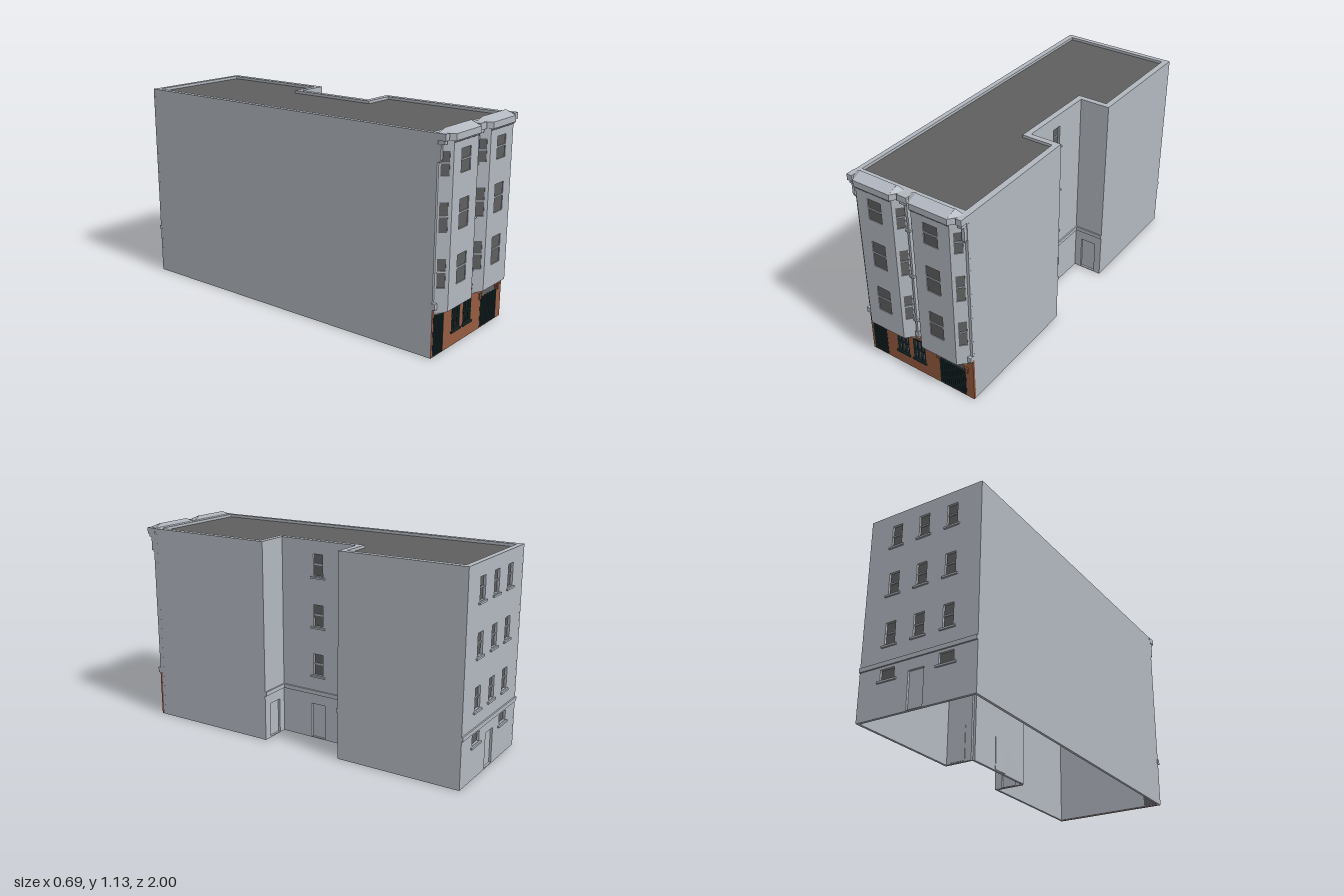
import * as THREE from 'three';

const mat = (name, color) => {
  const m = new THREE.MeshStandardMaterial({ color });
  m.name = name;
  return m;
};

export function createModel() {
  const stone = mat('stone', 0xb3b8c0);
  const dark = mat('darkGrey', 0x5f5f60);
  const brick = mat('brick', 0x965a40);
  const iron = mat('iron', 0x1f3133);
  const pale = mat('paleGreen', 0xd0dada);

  const model = new THREE.Group();
  model.name = 'terraceBuilding';

  const add = (parent, name, geo, material) => {
    const m = new THREE.Mesh(geo, material);
    m.name = name;
    parent.add(m);
    return m;
  };
  // Box given by its limits
  const box = (parent, name, material, x0, x1, y0, y1, z0, z1) => {
    const m = add(parent, name, new THREE.BoxGeometry(x1 - x0, y1 - y0, z1 - z0), material);
    m.position.set((x0 + x1) / 2, (y0 + y1) / 2, (z0 + z1) / 2);
    return m;
  };
  const rect = (C, x0, x1, y0, y1) => {
    const s = new C();
    s.moveTo(x0, y0); s.lineTo(x1, y0); s.lineTo(x1, y1); s.lineTo(x0, y1); s.closePath();
    return s;
  };
  const planShape = (pts, C = THREE.Shape) => new C(pts.map(([x, z]) => new THREE.Vector2(x, -z)));
  // Horizontal slab from a plan outline of [x, z] points
  const slab = (parent, name, material, pts, y0, y1, hole) => {
    const s = planShape(pts);
    if (hole) s.holes.push(planShape(hole, THREE.Path));
    const g = new THREE.ExtrudeGeometry(s, { depth: y1 - y0, bevelEnabled: false });
    g.rotateX(-Math.PI / 2).translate(0, y0, 0);
    return add(parent, name, g, material);
  };
  // Skin between two plan outlines at different heights
  const loft = (parent, name, material, low, y0, high, y1) => {
    const p = [];
    low.forEach((_, i) => {
      const j = (i + 1) % low.length;
      const a = [low[i][0], y0, low[i][1]], b = [low[j][0], y0, low[j][1]];
      const c = [high[j][0], y1, high[j][1]], d = [high[i][0], y1, high[i][1]];
      p.push(...a, ...b, ...c, ...a, ...c, ...d);
    });
    const g = new THREE.BufferGeometry();
    g.setAttribute('position', new THREE.Float32BufferAttribute(p, 3));
    g.computeVertexNormals();
    return add(parent, name, g, material);
  };

  // Upright wall from plan point a to b, outside on its local +z, with openings
  const T = 0.014;
  const wall = (name, a, b, y0, y1, openings = [], t = T) => {
    const g = new THREE.Group();
    g.name = name;
    const dx = b[0] - a[0], dz = b[1] - a[1], len = Math.hypot(dx, dz);
    g.position.set(a[0], 0, a[1]);
    g.rotation.y = Math.atan2(-dz, dx);
    const s = rect(THREE.Shape, 0, len, y0, y1);
    for (const o of openings) {
      s.holes.push(rect(THREE.Path, o.u0, o.u1, o.y0, o.y1));
      box(g, o.door ? 'door' : 'windowGlass', o.door ? stone : dark, o.u0, o.u1, o.y0, o.y1, -t - 0.003, -t + 0.002);
      if (o.bar) box(g, 'sashBar', stone, o.u0, o.u1, o.bar - 0.004, o.bar + 0.004, -t + 0.001, -t + 0.007);
      if (o.sill) box(g, 'windowSill', stone, o.u0 - 0.015, o.u1 + 0.015, o.y0 - 0.014, o.y0 - 0.004, -0.004, 0.009);
    }
    const geo = new THREE.ExtrudeGeometry(s, { depth: t, bevelEnabled: false });
    geo.translate(0, 0, -t);
    add(g, name + 'Panel', geo, stone);
    model.add(g);
    return { g, len };
  };
  const door = (u0) => ({ u0, u1: u0 + 0.09, y0: 0.005, y1: 0.2, door: true });
  const floors = [0.37, 0.645, 0.92];
  const column = (u) => floors.map((y) => ({ u0: u - 0.03, u1: u + 0.03, y0: y, y1: y + 0.118, bar: y + 0.062, sill: true }));
  const band = ({ g, len }) => box(g, 'stringCourse', stone, 0, len, 0.257, 0.28, -0.004, 0.008);

  // Main block with the side light well
  const foot = [[-0.333, 0.937], [0.342, 0.937], [0.337, 0.175], [0.16, 0.175],
    [0.165, -0.29], [0.335, -0.29], [0.335, -0.99], [-0.345, -0.99]];
  const inner = [[-0.308, 0.9], [0.308, 0.9], [0.305, 0.207], [0.128, 0.207],
    [0.132, -0.323], [0.302, -0.323], [0.3, -0.96], [-0.313, -0.96]];
  const H = 1.09;
  wall('frontWall', [-0.333, 0.925], [0.342, 0.925], 0, H);
  wall('rightFrontWall', foot[1], foot[2], 0, H);
  band(wall('wellFrontWall', foot[2], foot[3], 0, H, [door(0.045)]));
  band(wall('wellSideWall', foot[3], foot[4], 0, H, [door(0.19), ...column(0.232)]));
  band(wall('wellBackWall', foot[4], foot[5], 0, H, [door(0.04)]));
  wall('rightBackWall', foot[5], foot[6], 0, H);
  const backWindow = (u) => ({ u0: u - 0.042, u1: u + 0.042, y0: 0.188, y1: 0.243, sill: true });
  band(wall('backWall', foot[6], foot[7], 0, H, [door(0.295), backWindow(0.17), backWindow(0.51),
    ...column(0.17), ...column(0.34), ...column(0.51)]));
  wall('leftWall', foot[7], foot[0], 0, H);
  slab(model, 'parapet', stone, foot, H, 1.11, inner);
  slab(model, 'flatRoof', dark, inner, H, 1.095);

  // Brick ground floor
  const shop = new THREE.Shape([[-0.333, 0], [0.342, 0], [0.342, 0.262], [0.33, 0.262], [0.33, 0.245], [0.31, 0.245],
    [0.31, 0.225], [0.03, 0.225], [0.012, 0.245], [-0.01, 0.245], [-0.028, 0.225], [-0.3, 0.225], [-0.3, 0.245],
    [-0.321, 0.245], [-0.321, 0.262], [-0.333, 0.262]].map(([x, y]) => new THREE.Vector2(x, y)));
  const gateL = [-0.32, -0.225], gateR = [0.127, 0.295];
  const frontWindows = [-0.113, -0.005];
  shop.holes.push(rect(THREE.Path, ...gateL, 0.004, 0.218));
  for (const x of frontWindows) shop.holes.push(rect(THREE.Path, x - 0.04, x + 0.04, 0.078, 0.214));
  const arch = new THREE.Path();
  arch.moveTo(gateR[0], 0.004); arch.lineTo(gateR[1], 0.004); arch.lineTo(gateR[1], 0.165);
  arch.absellipse(0.211, 0.165, 0.084, 0.052, 0, Math.PI, false);
  arch.closePath();
  shop.holes.push(arch);
  const shopGeo = new THREE.ExtrudeGeometry(shop, { depth: 0.0125, bevelEnabled: false, curveSegments: 16 });
  add(model, 'brickFront', shopGeo, brick).position.z = 0.9255;
  const fan = new THREE.Shape();
  fan.absellipse(0.211, 0.165, 0.084, 0.052, 0, Math.PI, false);
  add(model, 'archPanel', new THREE.ShapeGeometry(fan, 16), dark).position.z = 0.928;
  for (const x of [0.119, 0.303]) {
    box(model, 'archBracket', brick, x - 0.008, x + 0.008, 0.165, 0.19, 0.935, 0.944);
    box(model, 'archBracketCap', brick, x - 0.011, x + 0.011, 0.19, 0.197, 0.935, 0.946);
  }

  // Barred gates
  const gate = ([x0, x1], top, n) => {
    const g = new THREE.Group();
    g.name = 'gate';
    model.add(g);
    box(g, 'gateBacking', pale, x0, x1, 0.004, top, 0.924, 0.927);
    for (let i = 0; i <= n; i++) {
      const x = x0 + 0.004 + (x1 - x0 - 0.008) * i / n;
      box(g, 'gateBar', iron, x - 0.0038, x + 0.0038, 0.004, top, 0.929, 0.939);
    }
    for (const y of [0.005, top - 0.011]) box(g, 'gateRail', iron, x0, x1, y, y + 0.007, 0.928, 0.936);
  };
  gate(gateL, 0.218, 7);
  gate(gateR, 0.165, 12);
  box(model, 'innerDoor', dark, -0.318, -0.24, 0.004, 0.21, 0.908, 0.912);

  // Ground floor windows
  for (const x of frontWindows) {
    const g = new THREE.Group();
    g.name = 'groundWindow';
    model.add(g);
    box(g, 'glass', dark, x - 0.04, x + 0.04, 0.078, 0.214, 0.924, 0.928);
    for (const s of [-0.037, -0.0125, 0.0125, 0.037]) {
      const w = Math.abs(s) > 0.03 ? 0.004 : 0.002;
      box(g, 'mullion', iron, x + s - w, x + s + w, 0.078, 0.214, 0.928, 0.938);
    }
    for (const y of [0.082, 0.146, 0.21]) box(g, 'windowRail', iron, x - 0.04, x + 0.04, y - 0.004, y + 0.004, 0.928, 0.9385);
    box(g, 'windowSill', iron, x - 0.045, x + 0.045, 0.07, 0.079, 0.93, 0.946);
  }

  // Two canted bays
  const bay = (l, fl, fr, r, wx) => {
    const plan = [[l, 0.93], [fl, 0.988], [fr, 0.988], [r, 0.93]];
    const rows = (u0, u1) => floors.map((y, i) => {
      const b = [0.36, 0.635, 0.91][i], h = [0.148, 0.148, 0.116][i];
      return { u0, u1, y0: b, y1: b + h, bar: b + [0.081, 0.081, 0.062][i] };
    });
    for (let i = 0; i < 3; i++) {
      const [a, b] = [plan[i], plan[i + 1]];
      const len = Math.hypot(b[0] - a[0], b[1] - a[1]);
      const spans = [[len * 0.24, len * 0.78], [wx - 0.041 - fl, wx + 0.041 - fl], [len * 0.22, len * 0.76]];
      wall('bayWall', a, b, 0.24, 1.08, rows(...spans[i]), 0.006);
    }
    const foot2 = [[l + 0.005, 0.93], [fl + 0.005, 0.948], [fr - 0.005, 0.948], [r - 0.005, 0.93]];
    loft(model, 'baySoffit', stone, foot2, 0.22, plan, 0.24);
    slab(model, 'baySoffitBase', stone, foot2, 0.217, 0.22);
    const eave = [[l, 0.93], [fl, 1], [fr, 1], [r, 0.93]];
    slab(model, 'bayCornice', stone, eave, 1.075, 1.108);
    loft(model, 'bayRoof', stone, eave, 1.108, [[fl, 0.938], [fl, 0.942], [fr, 0.942], [fr, 0.938]], 1.131);
    // Dentils under the cornice
    for (let x = fl + 0.004; x < fr; x += 0.011) box(model, 'dentil', stone, x - 0.003, x + 0.003, 1.066, 1.076, 0.986, 0.995);
  };
  bay(-0.326, -0.275, -0.055, -0.006, -0.165);
  bay(0.008, 0.06, 0.28, 0.334, 0.168);

  // Pilasters, consoles and corbel blocks at the ends and between the bays
  for (const [x, w] of [[-0.318, 0.016], [0.002, 0.029], [0.327, 0.016]]) {
    box(model, 'consoleHead', stone, x - w, x + w, 1.078, 1.112, 0.925, 0.978);
    box(model, 'consoleNeck', stone, x - w * 0.7, x + w * 0.7, 1.06, 1.078, 0.925, 0.97);
  }
  for (const x of [-0.325, 0.002, 0.331]) {
    box(model, 'consoleBracket', stone, x - 0.008, x + 0.008, 0.985, 1.06, 0.925, 0.955);
    box(model, 'consoleFoot', stone, x - 0.005, x + 0.005, 0.975, 0.985, 0.925, 0.95);
    box(model, 'corbelBlock', stone, x - 0.011, x + 0.011, 0.255, 0.286, 0.925, 0.952);
  }
  box(model, 'centrePilaster', stone, -0.004, 0.008, 0.24, 1.07, 0.925, 0.95);
  for (const y of [0.355, 0.63, 0.9]) box(model, 'pilasterCollar', stone, -0.011, 0.015, y, y + 0.01, 0.925, 0.955);

  return model;
}
